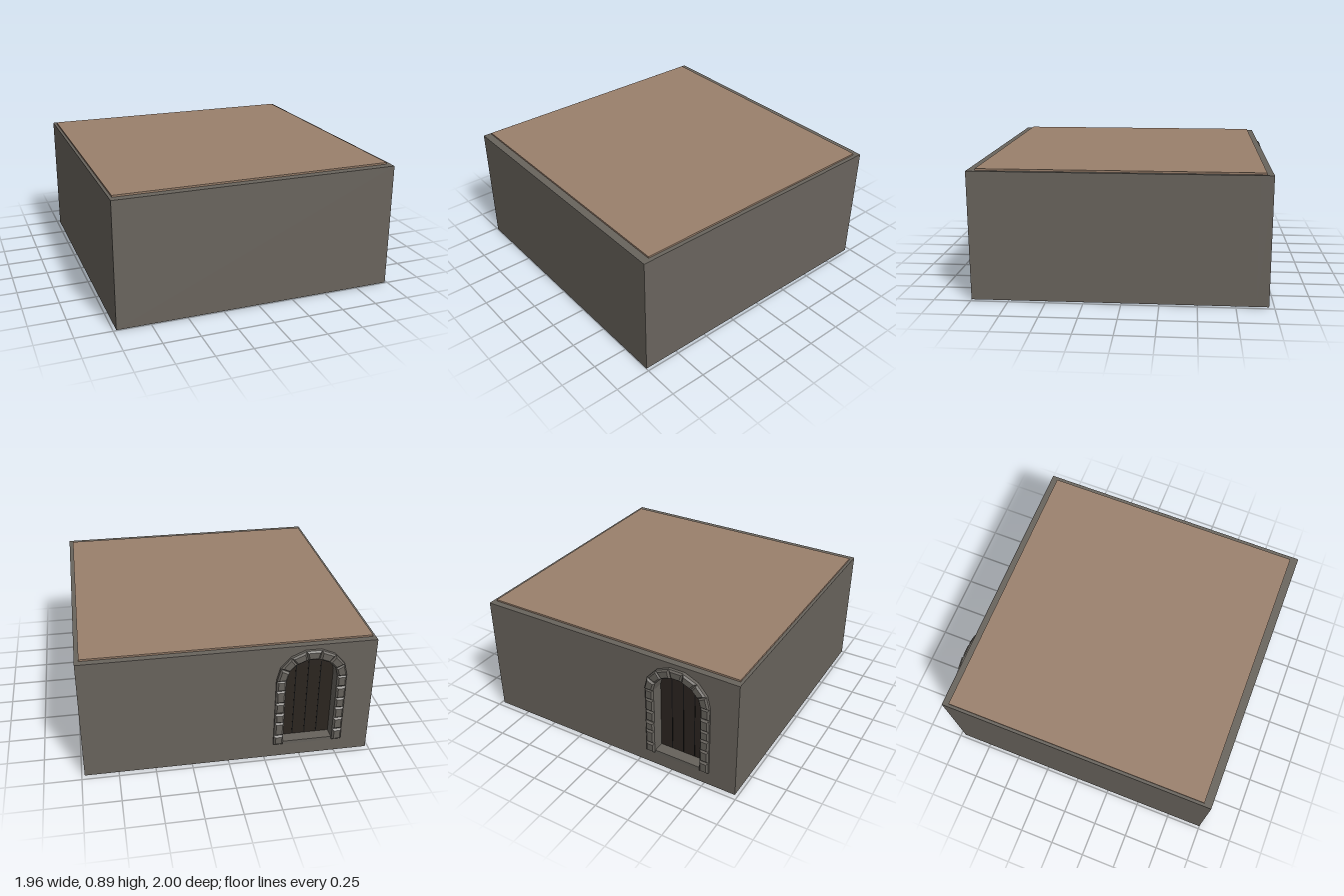
import * as THREE from 'three';

const mat = (color) => new THREE.MeshStandardMaterial({ color, flatShading: true });

export function createModel() {
  const model = new THREE.Group();
  const wall = mat(0x69645d), stone = mat(0x66625c), wood = mat(0x9a806c);
  const dark = mat(0x2c2520), black = mat(0x141414);

  const add = (name, geometry, material, parent = model) => {
    const mesh = new THREE.Mesh(geometry, material);
    mesh.name = name;
    parent.add(mesh);
    return mesh;
  };
  const box = (name, material, [x0, x1], [y0, y1], [z0, z1], parent) => {
    const mesh = add(name, new THREE.BoxGeometry(x1 - x0, y1 - y0, z1 - z0), material, parent);
    mesh.position.set((x0 + x1) / 2, (y0 + y1) / 2, (z0 + z1) / 2);
    return mesh;
  };
  let seed = 7;
  const rand = () => (seed = (seed * 16807) % 2147483647) / 2147483647;

  const backZ = -0.965, recessZ = -0.88, cx = -0.548, baseY = 0.11, springY = 0.63;

  // Main block and raised roof panel
  box('body', wall, [-0.98, 0.98], [0.005, 0.875], [recessZ, 1]);
  box('roofPanel', wood, [-0.96, 0.952], [0.86, 0.887], [-0.92, 0.945]);

  // Back wall with an arched opening
  const face = new THREE.Shape();
  face.moveTo(-0.98, 0.005).lineTo(0.98, 0.005).lineTo(0.98, 0.875).lineTo(-0.98, 0.875).closePath();
  const hole = new THREE.Path();
  hole.moveTo(cx - 0.195, baseY).lineTo(cx + 0.195, baseY).lineTo(cx + 0.195, springY);
  hole.absellipse(cx, springY, 0.195, 0.17, 0, Math.PI, false);
  hole.closePath();
  face.holes.push(hole);
  const backWall = new THREE.ExtrudeGeometry(face, { depth: recessZ - backZ, bevelEnabled: false, curveSegments: 16 });
  add('backWall', backWall, wall).position.z = backZ;

  // Recessed plank door and sill
  const door = new THREE.Group();
  door.name = 'door';
  model.add(door);
  const leaf = new THREE.Shape();
  leaf.moveTo(cx - 0.19, baseY).lineTo(cx + 0.19, baseY).lineTo(cx + 0.19, springY);
  leaf.absellipse(cx, springY, 0.19, 0.165, 0, Math.PI, false);
  const leafGeo = new THREE.ExtrudeGeometry(leaf, { depth: 0.012, bevelEnabled: false });
  add('doorLeaf', leafGeo, dark, door).position.z = recessZ - 0.01;
  for (let i = -1; i <= 1; i++) {
    const x = cx + i * 0.085;
    box('plankGap', black, [x - 0.003, x + 0.003], [0.13, i ? 0.7 : 0.76], [recessZ - 0.012, recessZ], door);
  }
  box('sill', stone, [cx - 0.2, cx + 0.2], [0.1, 0.125], [backZ - 0.004, recessZ]);

  // Stone surround: joints run up one jamb, over the arch and down the other
  const surround = new THREE.Group();
  surround.name = 'stoneSurround';
  model.add(surround);
  const inner = 0.172, outer = 0.238, courses = 6, archStones = 7;
  const joints = [];
  const jamb = (side, i) => {
    const y = baseY + (springY - baseY) * (i / courses) + (i % courses ? (rand() - 0.5) * 0.02 : 0);
    joints.push([cx + side * inner, y, cx + side * outer, y]);
  };
  for (let i = 0; i < courses; i++) jamb(1, i);
  for (let i = 0; i <= archStones; i++) {
    const a = Math.PI * i / archStones, c = Math.cos(a), s = Math.sin(a);
    joints.push([cx + inner * c, springY + 0.15 * s, cx + outer * c, springY + 0.218 * s]);
  }
  for (let i = courses - 1; i >= 0; i--) jamb(-1, i);
  for (let i = 0; i + 1 < joints.length; i++) {
    const [ax, ay, bx, by] = joints[i], [dx, dy, ex, ey] = joints[i + 1];
    const s = new THREE.Shape();
    s.moveTo(ax, ay).lineTo(bx, by).lineTo(ex, ey).lineTo(dx, dy).closePath();
    const isArch = i >= courses && i < courses + archStones;
    const out = isArch ? 0.027 + rand() * 0.008 : 0.017 + rand() * 0.01;
    const bevel = 0.012;
    const geo = new THREE.ExtrudeGeometry(s, {
      depth: recessZ - backZ + out - bevel, bevelEnabled: true, bevelThickness: bevel,
      bevelSize: bevel, bevelOffset: -bevel, bevelSegments: 1,
    });
    add('stone', geo, stone, surround).position.z = backZ - out + bevel;
  }

  // Dark round shaft mouth in the underside
  add('shaftMouth', new THREE.CylinderGeometry(0.212, 0.212, 0.01, 40), black).position.set(-0.62, 0.007, 0.62);
  const rim = add('shaftRim', new THREE.TorusGeometry(0.212, 0.003, 6, 40), stone);
  rim.rotation.x = Math.PI / 2;
  rim.position.set(-0.62, 0.004, 0.62);

  return model;
}
